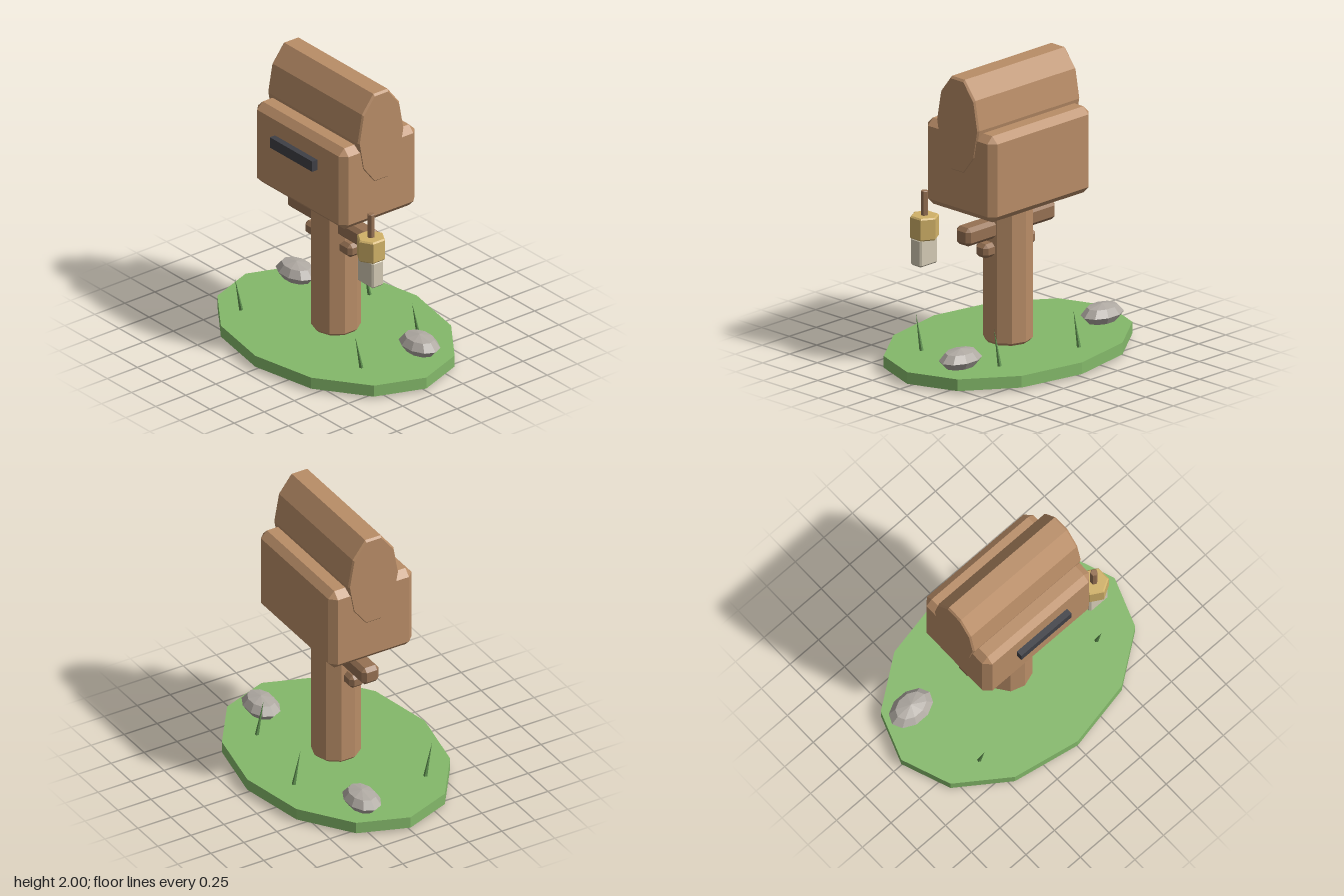
import * as THREE from 'three';
import { ConvexGeometry } from 'three/addons/geometries/ConvexGeometry.js';

const material = (name, color) => {
  const m = new THREE.MeshStandardMaterial({ color, flatShading: true });
  m.name = name;
  return m;
};

// Box with every edge chamfered by c
function chamferBox(w, h, d, c) {
  const points = [];
  for (const sx of [-1, 1]) for (const sy of [-1, 1]) for (const sz of [-1, 1]) {
    const x = w / 2, y = h / 2, z = d / 2;
    points.push(
      new THREE.Vector3(sx * x, sy * (y - c), sz * (z - c)),
      new THREE.Vector3(sx * (x - c), sy * y, sz * (z - c)),
      new THREE.Vector3(sx * (x - c), sy * (y - c), sz * z));
  }
  return new ConvexGeometry(points);
}

// Faceted prism along y with chamfered ends
function chamferPrism(r, h, sides, c) {
  const profile = [[0, -h / 2], [r - c, -h / 2], [r, -h / 2 + c], [r, h / 2 - c], [r - c, h / 2], [0, h / 2]];
  return new THREE.LatheGeometry(profile.map(p => new THREE.Vector2(...p)), sides);
}

export function createModel() {
  const model = new THREE.Group();
  model.name = 'mailbox';
  const wood = material('wood', 0xb98d67);
  const darkWood = material('dark wood', 0x967153);
  const grass = material('grass', 0x84b96a);
  const bladeGreen = material('blade green', 0x5f9150);
  const stone = material('stone', 0xb0aaa3);
  const brass = material('brass', 0xd0b168);
  const glass = material('pale glass', 0xd3cab4);
  const charcoal = material('charcoal', 0x3f4046);

  const add = (name, geometry, mat, x, y, z) => {
    const mesh = new THREE.Mesh(geometry, mat);
    mesh.name = name;
    mesh.position.set(x, y, z);
    model.add(mesh);
    return mesh;
  };

  // Oval ground slab
  add('ground', new THREE.CylinderGeometry(1, 1, 0.08, 12), grass, 0, 0.06, 0).scale.set(0.933, 1, 0.672);

  // Post and cross beams
  add('post', chamferPrism(0.163, 0.97, 10, 0.02), wood, 0, 0.585, 0);
  add('upperBeam', chamferBox(0.825, 0.125, 0.13, 0.026), darkWood, -0.002, 0.893, 0.022);
  add('lowerBeam', chamferBox(0.48, 0.095, 0.11, 0.024), darkWood, -0.002, 0.753, 0.023);

  // Box body and letter slot
  add('body', chamferBox(0.935, 0.59, 0.63, 0.046), wood, -0.002, 1.36, 0);
  add('letterSlot', new THREE.BoxGeometry(0.438, 0.075, 0.043), charcoal, -0.002, 1.472, 0.351);

  // Ten-sided oval roof drum lying along x
  const drum = chamferPrism(1, 0.945, 10, 0.045);
  const pos = drum.attributes.position;
  for (let i = 0; i < pos.count; i++) { // keep the end chamfer shallow
    const y = pos.getY(i);
    if (Math.abs(y) < 0.44) pos.setY(i, Math.sign(y) * 0.46);
  }
  drum.rotateZ(Math.PI / 2);
  drum.scale(1, 0.339, 0.19);
  drum.computeVertexNormals();
  add('roofDrum', drum, wood, -0.002, 1.678, 0);

  // Lantern
  add('lanternStem', chamferPrism(0.025, 0.315, 6, 0.004), darkWood, 0.587, 1.06, 0.182);
  add('lanternCap', chamferPrism(0.098, 0.155, 6, 0.01), brass, 0.587, 0.973, 0.182);
  add('lanternGlass', chamferBox(0.162, 0.19, 0.098, 0.012), glass, 0.587, 0.808, 0.186);

  // Stones
  for (const [x, z] of [[-0.663, -0.205], [0.63, -0.187]]) {
    add('stone', new THREE.SphereGeometry(1, 10, 4), stone, x, 0.165, z).scale.set(0.165, 0.07, 0.113);
  }

  // Grass blades leaning forward
  for (const [x, z] of [[-0.56, 0.355], [-0.205, -0.427], [0.425, -0.325], [0.557, 0.255]]) {
    add('grassBlade', new THREE.ConeGeometry(0.02, 0.345, 5), bladeGreen, x, 0.174, z).rotation.x = 0.2;
  }
  return model;
}
